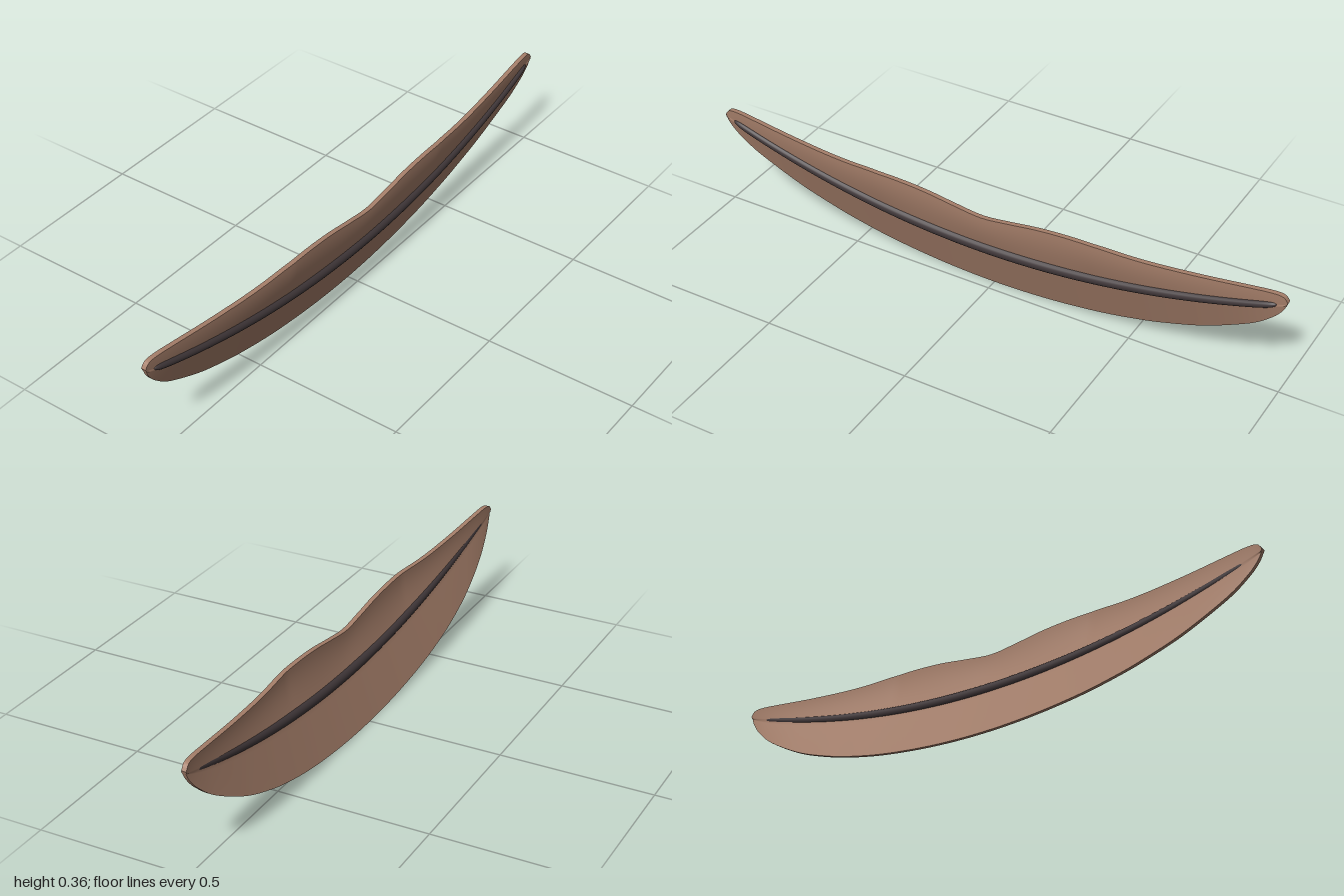
import * as THREE from 'three';

// Skin a row of closed rings running along +x into one smooth indexed surface.
function loft(rings) {
  const n = rings[0].length;
  const index = [];
  for (let i = 0; i < rings.length - 1; i++) {
    for (let j = 0; j < n; j++) {
      const k = (j + 1) % n;
      const a = i * n + j, b = i * n + k, c = a + n, d = b + n;
      index.push(a, c, d, a, d, b);
    }
  }
  const geometry = new THREE.BufferGeometry().setFromPoints(rings.flat());
  geometry.setIndex(index);
  geometry.computeVertexNormals();
  return geometry;
}

// Symmetric outline curve from half of its points, listed centre to tip.
function mirroredCurve(xs, ys) {
  const half = xs.map((x, i) => new THREE.Vector2(x, ys[i]));
  const other = half.slice(1).reverse().map(p => new THREE.Vector2(-p.x, p.y));
  return new THREE.SplineCurve([...other, ...half]);
}

const { lerp, clamp } = THREE.MathUtils;
const seamY = x => 0.175 + 0.156 * x * x;
const seamZ = x => 0.016 * (1 - x * x);
const lowerZ = x => -0.044 * (1 - Math.abs(x) ** 5);
const upperZ = x => 0.042 * clamp((1 - Math.abs(x)) / 0.62, 0, 1);

// Thin curved plate: lower half leans back, upper half bulges forward.
function lipsGeometry() {
  const xs = [0, 0.1, 0.2, 0.3, 0.4, 0.5, 0.6, 0.74, 0.88, 0.95, 0.985, 1];
  const bottom = mirroredCurve(xs, [0, 0.002, 0.008, 0.018, 0.032, 0.052, 0.078, 0.128, 0.203, 0.26, 0.303, 0.338]);
  const top = mirroredCurve(xs, [0.305, 0.316, 0.33, 0.337, 0.338, 0.334, 0.335, 0.343, 0.355, 0.36, 0.356, 0.338]);
  const steps = 132, rows = 12;
  const rings = [];
  for (let i = 0; i <= steps; i++) {
    const lo = bottom.getPoint(i / steps), hi = top.getPoint(i / steps);
    const x = clamp(lo.x, -1, 1);
    const mid = clamp(seamY(x), Math.min(lo.y, hi.y), Math.max(lo.y, hi.y));
    const front = [], back = [];
    for (let j = 0; j <= 2 * rows; j++) {
      const v = j / rows - 1; // -1 lower edge, 0 seam, 1 upper edge
      const y = v < 0 ? lerp(mid, lo.y, -v) : lerp(mid, hi.y, v);
      const z = v < 0
        ? lerp(seamZ(x), lowerZ(x), -v)
        : lerp(seamZ(x), upperZ(x), Math.sin(v * Math.PI / 2)) - 0.002;
      const h = lerp(0.006, 0.008, (v + 1) / 2);
      front.push(new THREE.Vector3(x, y, z + h));
      back.unshift(new THREE.Vector3(x, y, z - h));
    }
    // Corner points are doubled so the rim stays sharp.
    const last = 2 * rows;
    rings.push([...front, front[last], back[0], ...back, back[last], front[0]]);
  }
  return loft(rings);
}

// Tapered round cord following the seam, showing on both faces.
function seamGeometry() {
  const steps = 120, sides = 20;
  const rings = [];
  for (let i = 0; i <= steps; i++) {
    const u = Math.sin((i / steps - 0.5) * Math.PI);
    const x = 0.967 * u;
    const r = (0.02 - 0.008 * u * u) * Math.sqrt(Math.max(0, 1 - Math.abs(u) ** 60));
    rings.push(Array.from({ length: sides }, (_, j) => {
      const a = j / sides * Math.PI * 2;
      return new THREE.Vector3(x, seamY(x) + r * Math.sin(a), seamZ(x) + 0.002 + 0.001 * u * u + r * Math.cos(a));
    }));
  }
  return loft(rings);
}

export function createModel() {
  const group = new THREE.Group();
  group.name = 'mouth';
  const add = (name, geometry, color) => {
    const mesh = new THREE.Mesh(geometry, new THREE.MeshStandardMaterial({ color }));
    mesh.name = name;
    group.add(mesh);
  };
  add('lips', lipsGeometry(), 0xa67f6a);
  add('mouthLine', seamGeometry(), 0x403739);
  return group;
}
